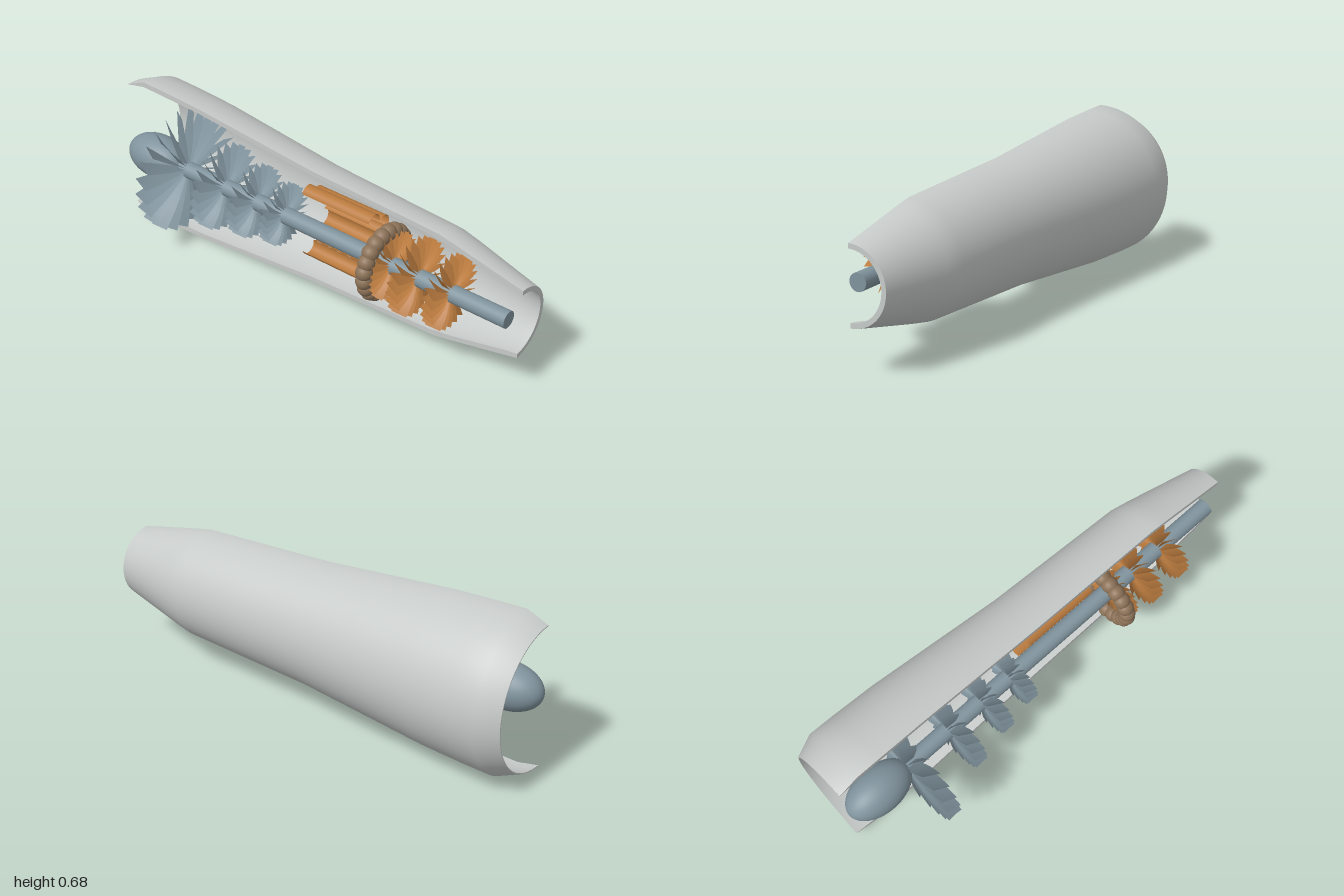
import * as THREE from 'three';

const mat = (name, color) => {
  const m = new THREE.MeshStandardMaterial({ color, side: THREE.DoubleSide });
  m.name = name;
  return m;
};

// Thin twisted blade growing along +y: almost axial at the root, pitched at the tip
function bladeGeometry(root, tip, chord, pitch) {
  const g = new THREE.PlaneGeometry(1, 1, 1, 5);
  const p = g.attributes.position;
  for (let i = 0; i < p.count; i++) {
    const t = p.getY(i) + 0.5;
    const half = p.getX(i) * chord * (0.65 + 0.35 * Math.min(1, t * 2));
    const a = pitch * (0.08 + 0.92 * t);
    p.setXYZ(i, half * Math.cos(a), root + (tip - root) * t, half * Math.sin(a));
  }
  g.computeVertexNormals();
  return g;
}

export function createModel() {
  const casingMat = mat('casingGrey', 0xc6cac8);
  const steel = mat('blueSteel', 0x80939d);
  const copper = mat('hotOrange', 0xb97a3e);
  const bronze = mat('bronzeBrown', 0x8c7258);

  const model = new THREE.Group();
  model.name = 'cutawayEngine';
  // Everything sits on the engine axis, which runs along x
  const engine = new THREE.Group();
  engine.name = 'engine';
  engine.position.set(0, 0.34, 0.033);
  model.add(engine);

  const add = (name, geo, material, parent = engine) => {
    const m = new THREE.Mesh(geo, material);
    m.name = name;
    parent.add(m);
    return m;
  };

  // Casing: rear half of a hollow shell, profiles as [x, radius]
  const outer = [[-1, 0.3], [-0.91, 0.339], [-0.8, 0.336], [-0.6, 0.326], [-0.3, 0.298],
    [0, 0.27], [0.3, 0.256], [0.62, 0.241], [0.7, 0.225], [1, 0.157]];
  const inner = [[-1, 0.296], [-0.91, 0.316], [-0.6, 0.304], [0, 0.248],
    [0.6, 0.22], [0.7, 0.203], [0.96, 0.143], [1, 0.137]];
  const halfLathe = (profile) => new THREE.LatheGeometry(
    profile.map(([x, r]) => new THREE.Vector2(r, x)), 48, Math.PI / 2, Math.PI).rotateZ(-Math.PI / 2);
  const casing = new THREE.Group();
  casing.name = 'casing';
  engine.add(casing);
  add('casingOuterSkin', halfLathe(outer), casingMat, casing);
  add('casingInnerSkin', halfLathe(inner), casingMat, casing);
  add('intakeLip', halfLathe([inner[0], outer[0]]), casingMat, casing);
  add('exhaustLip', halfLathe([outer.at(-1), inner.at(-1)]), casingMat, casing);
  // Flat cut faces of the shell
  for (const s of [1, -1]) {
    const loop = [...outer, ...[...inner].reverse()].map(([x, r]) => new THREE.Vector2(x, s * r));
    add('casingCutFace', new THREE.ShapeGeometry(new THREE.Shape(loop)), casingMat, casing);
  }

  // Shaft and nose cone
  const shaft = add('shaft', new THREE.CylinderGeometry(0.036, 0.036, 1.79, 32), steel);
  shaft.rotation.z = Math.PI / 2;
  shaft.position.x = 0.055;
  const nose = add('noseCone', new THREE.SphereGeometry(1, 40, 28).rotateZ(Math.PI / 2), steel);
  nose.scale.set(0.152, 0.095, 0.095);
  nose.position.x = -0.846;

  // Blade stages: name, x, tip radius, chord, material
  const stages = [
    ['fanStage', -0.687, 0.273, 0.07, steel],
    ['compressorStage1', -0.47, 0.187, 0.066, steel],
    ['compressorStage2', -0.298, 0.157, 0.064, steel],
    ['compressorStage3', -0.147, 0.132, 0.062, steel],
    ['turbineStage1', 0.4, 0.142, 0.062, copper],
    ['turbineStage2', 0.525, 0.16, 0.064, copper],
    ['turbineStage3', 0.68, 0.15, 0.064, copper],
  ];
  const count = 24;
  for (const [name, x, tip, chord, material] of stages) {
    const stage = new THREE.Group();
    stage.name = name;
    stage.position.x = x;
    engine.add(stage);
    const geo = bladeGeometry(0.034, tip, chord, 0.52);
    for (let i = 0; i < count; i++) {
      add('blade', geo, material, stage).rotation.x = 0.07 + (i / count) * Math.PI * 2;
    }
  }

  // Combustor: open half-round troughs lining the rear half
  const combustor = new THREE.Group();
  combustor.name = 'combustor';
  combustor.position.x = 0.125;
  engine.add(combustor);
  const trough = new THREE.CylinderGeometry(0.036, 0.036, 0.335, 16, 1, true, Math.PI, Math.PI)
    .rotateZ(Math.PI / 2).rotateX(0);
  // Turn the open side towards the axis
  trough.computeBoundingBox();
  const c = trough.boundingBox.getCenter(new THREE.Vector3());
  trough.rotateX(-Math.atan2(c.z, c.y)).translate(0, 0.135, 0);
  for (let i = 0; i < 6; i++) {
    add('combustorTrough', trough, copper, combustor).rotation.x = -(i + 0.5) * Math.PI / 6;
  }

  // Ring of overlapping beads ahead of the turbine
  const ring = new THREE.Group();
  ring.name = 'nozzleRing';
  ring.position.x = 0.372;
  engine.add(ring);
  const bead = new THREE.SphereGeometry(0.035, 20, 14);
  for (let i = 0; i < 20; i++) {
    const a = ((i + 0.5) / 20) * Math.PI * 2;
    add('nozzleBead', bead, bronze, ring).position.set(0, 0.13 * Math.cos(a), 0.13 * Math.sin(a));
  }

  return model;
}
